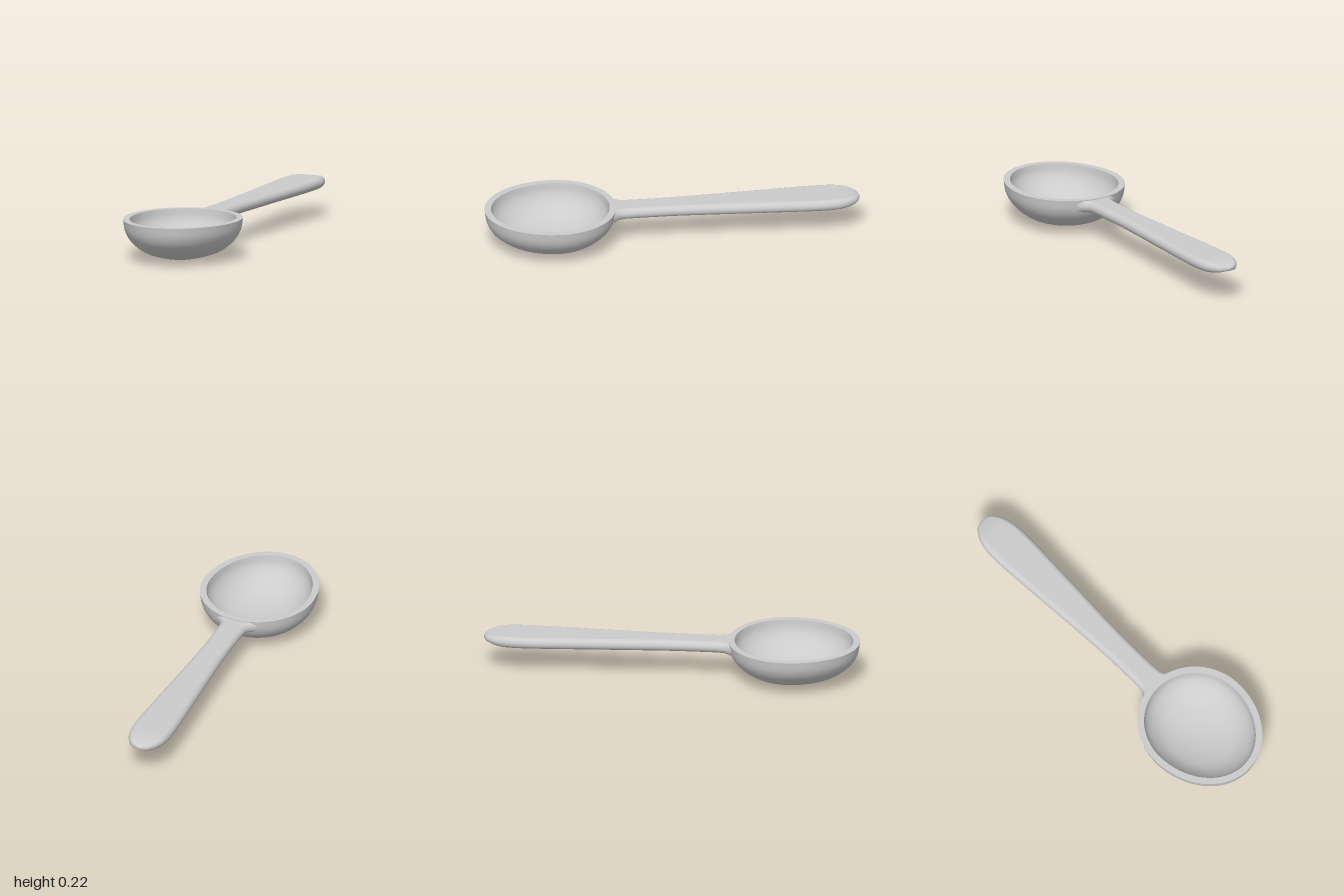
import * as THREE from 'three';
import { toCreasedNormals } from 'three/addons/utils/BufferGeometryUtils.js';

const material = new THREE.MeshStandardMaterial({ color: 0xcccccc });
const vec = ([x, y]) => new THREE.Vector2(x, y);
const spline = (points, n) => new THREE.SplineCurve(points.map(vec)).getPoints(n);

// Egg-shaped bowl: a lathed shell, stretched further to the front than to the back
function bowl() {
  const outer = spline([[0, 0], [0.1, 0.012], [0.2, 0.046], [0.265, 0.099], [0.299, 0.155], [0.31, 0.218]], 28);
  const inner = spline([[0.275, 0.218], [0.265, 0.165], [0.232, 0.114], [0.172, 0.067], [0.085, 0.04], [0, 0.031]], 28);
  outer[0].x = inner[28].x = 0;
  const geometry = new THREE.LatheGeometry([...outer, ...inner], 96);
  const p = geometry.attributes.position;
  for (let i = 0; i < p.count; i++) {
    const x = p.getX(i), z = p.getZ(i), r = Math.hypot(x, z);
    const stretch = z > 0 ? 0.07 : 0.01;
    const cos = r > 0 ? z / r : 0;
    const centre = 0.62 + 0.02 * Math.max(0, 1 - r / 0.275);
    p.setZ(i, centre + cos * (r + stretch * Math.min(1, r / 0.275)));
  }
  const mesh = new THREE.Mesh(toCreasedNormals(geometry, 0.7), material);
  mesh.name = 'bowl';
  return mesh;
}

// Flat handle with rounded edges, lofted along z from the bowl wall to the tip
function handle() {
  const outline = spline([
    [0.325, 0.115], [0.3, 0.088], [0.27, 0.074], [0.2, 0.07], [0, 0.071], [-0.2, 0.08], [-0.4, 0.091],
    [-0.6, 0.102], [-0.75, 0.109], [-0.85, 0.107], [-0.92, 0.092], [-0.97, 0.062], [-0.99, 0.036], [-1, 0],
  ], 104);
  const sides = 40, positions = [], index = [];
  outline.forEach(({ x: z, y: w }, i) => {
    const t = THREE.MathUtils.clamp((-0.86 - z) / 0.14, 0, 1);
    const h = 0.031 * Math.sqrt(1 - t * t);
    const r = Math.min(h, Math.max(w, 0));
    for (let j = 0; j < sides; j++) {
      const a = ((j + 0.5) / sides) * Math.PI * 2;
      const flat = Math.sign(Math.cos(a)) * (Math.max(w, 0) - r);
      positions.push(flat + r * Math.cos(a), 0.183 + h * Math.sin(a), z);
      if (i === 0) continue;
      const k = (j + 1) % sides, now = i * sides, before = now - sides;
      index.push(before + j, now + j, before + k, before + k, now + j, now + k);
    }
  });
  const geometry = new THREE.BufferGeometry();
  geometry.setAttribute('position', new THREE.Float32BufferAttribute(positions, 3));
  geometry.setIndex(index);
  geometry.computeVertexNormals();
  const mesh = new THREE.Mesh(geometry, material);
  mesh.name = 'handle';
  return mesh;
}

export function createModel() {
  const group = new THREE.Group();
  group.name = 'spoon';
  group.add(bowl(), handle());
  return group;
}
